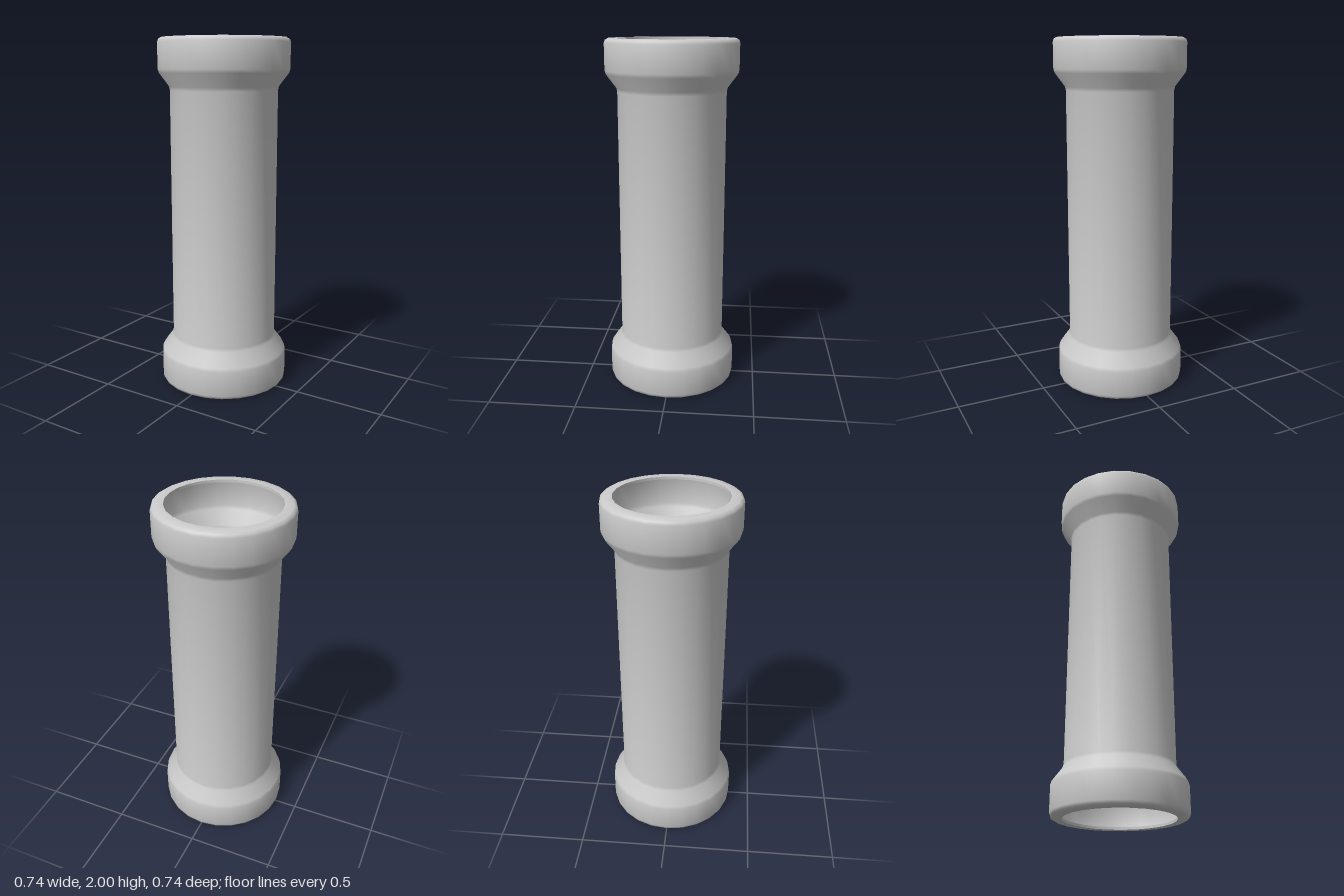
import * as THREE from 'three';
import { toCreasedNormals } from 'three/addons/utils/BufferGeometryUtils.js';

const SIDES = 24;

// Upper half of the outer wall, going up: tube, flare, collar, rounded rim
const outer = [
  [0.305, 1.715], [0.31, 1.735], [0.366, 1.81], [0.372, 1.83],
  [0.372, 1.975], [0.367, 1.991], [0.352, 2], [0.305, 2],
];
// Upper half of the inner wall, going down: lip, hollow collar, flare, bore
const inner = [
  [0.305, 1.985], [0.352, 1.985], [0.357, 1.975],
  [0.357, 1.835], [0.351, 1.815], [0.296, 1.742], [0.29, 1.72],
];

// Mirrors half a profile about the middle of the tube
const mirrored = (half) => half.map(([r, y]) => [r, 2 - y]).reverse();

export function createModel() {
  const group = new THREE.Group();
  group.name = 'flangedPipe';

  // One closed wall section turned about the axis
  const section = [...mirrored(outer), ...outer, ...inner, ...mirrored(inner)];
  section.push(section[0]);
  const points = section.map(([r, y]) => new THREE.Vector2(r, y));
  const geometry = toCreasedNormals(new THREE.LatheGeometry(points, SIDES), Math.PI / 3.5);

  const pipe = new THREE.Mesh(geometry, new THREE.MeshStandardMaterial({ color: 0xcccccc }));
  pipe.name = 'pipe';
  group.add(pipe);
  return group;
}
